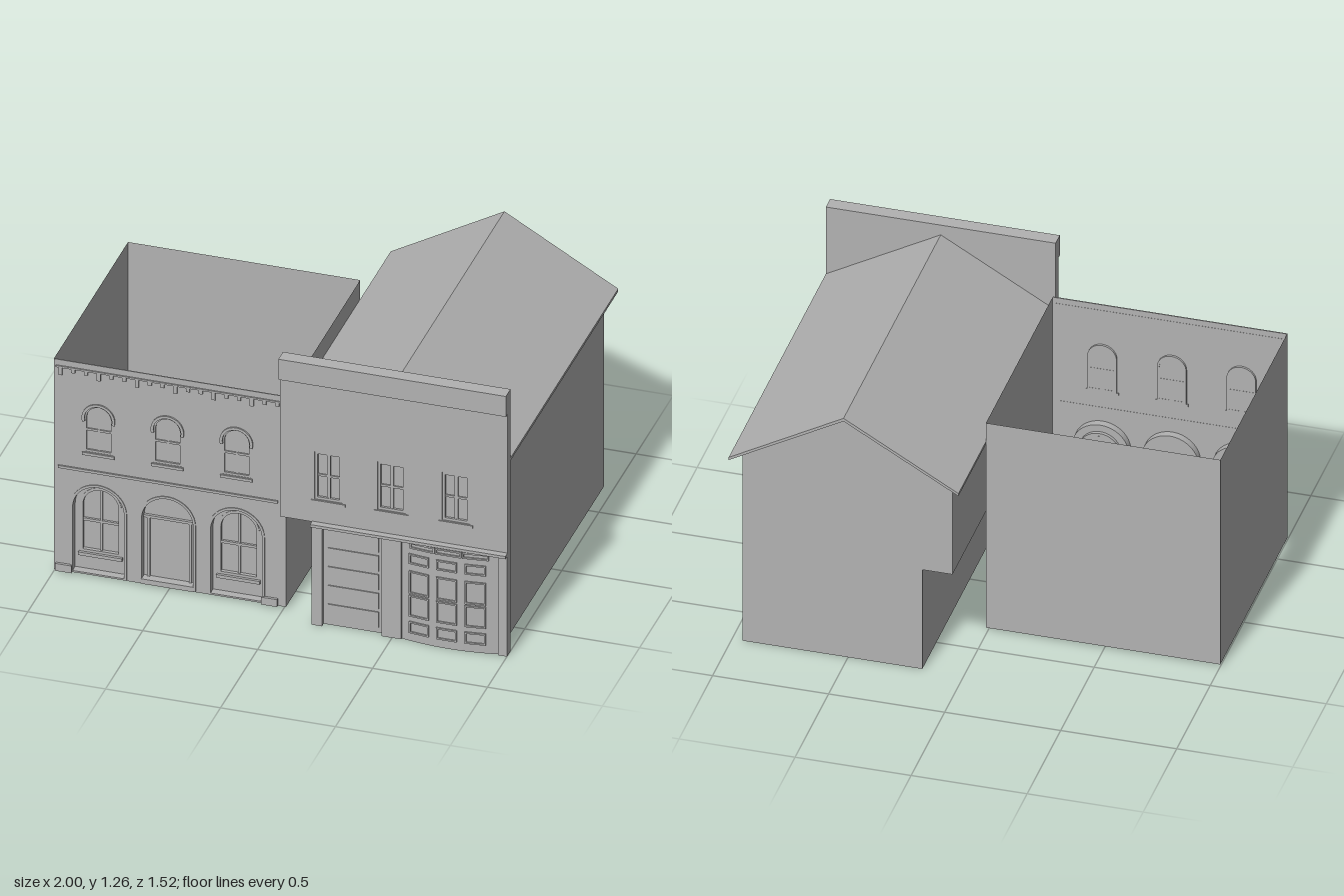
import * as THREE from 'three';

const stone = new THREE.MeshStandardMaterial({ color: 0xb2b2b2, side: THREE.DoubleSide });
stone.name = 'plain grey';

function add(parent, name, geo, x = 0, y = 0, z = 0) {
  const m = new THREE.Mesh(geo, stone);
  m.name = name;
  m.position.set(x, y, z);
  parent.add(m);
  return m;
}

// Box given by its limits
function block(parent, name, x0, x1, y0, y1, z0, z1) {
  return add(parent, name, new THREE.BoxGeometry(x1 - x0, y1 - y0, z1 - z0),
    (x0 + x1) / 2, (y0 + y1) / 2, (z0 + z1) / 2);
}

// Flat shape pushed from z0 to z1
function slab(parent, name, shape, z0, z1) {
  const geo = new THREE.ExtrudeGeometry(shape, { depth: z1 - z0, bevelEnabled: false, curveSegments: 14 });
  return add(parent, name, geo, 0, 0, z0);
}

function poly(points) {
  return new THREE.Shape(points.map(([x, y]) => new THREE.Vector2(x, y)));
}

function rect(x0, x1, y0, y1) {
  return poly([[x0, y0], [x1, y0], [x1, y1], [x0, y1]]);
}

// Round-headed opening; top is the crown height
function arch(cx, r, y0, top) {
  const s = new THREE.Shape();
  s.moveTo(cx - r, y0);
  s.lineTo(cx + r, y0);
  s.lineTo(cx + r, top - r);
  s.absarc(cx, top - r, r, 0, Math.PI, false);
  s.closePath();
  return s;
}

function withHoles(shape, ...holes) {
  shape.holes.push(...holes);
  return shape;
}

// Thin open sheet: a cross-section polyline swept along z
function sheet(parent, name, pts, z0, z1) {
  const pos = [];
  for (let i = 0; i < pts.length - 1; i++) {
    const [a, b] = pts[i], [c, d] = pts[i + 1];
    pos.push(a, b, z0, c, d, z0, c, d, z1, a, b, z0, c, d, z1, a, b, z1);
  }
  const geo = new THREE.BufferGeometry();
  geo.setAttribute('position', new THREE.Float32BufferAttribute(pos, 3));
  geo.computeVertexNormals();
  return add(parent, name, geo);
}

function archedBuilding() {
  const g = new THREE.Group();
  g.name = 'archedBuilding';
  const centres = [-0.805, -0.505, -0.205];

  // Roofless shell
  sheet(g, 'rightSideWall', [[-1, 0.01], [-1, 1.02]], -0.35, 0.65);
  sheet(g, 'leftSideWall', [[0.01, 0.01], [0.01, 1.02]], -0.35, 0.65);
  add(g, 'backWall', new THREE.ShapeGeometry(rect(-1, 0.01, 0.01, 1.02)).rotateY(Math.PI), -0.99, 0, -0.35);

  // Facade with openings
  const front = rect(-1, 0.01, 0.01, 1.02);
  for (const c of centres) front.holes.push(arch(c, 0.115, 0.02, 0.44), arch(c, 0.062, 0.6, 0.825));
  slab(g, 'frontWall', front, 0.645, 0.65);

  centres.forEach((c, i) => {
    // Deep ground-floor arch
    slab(g, 'archReveal', withHoles(arch(c, 0.123, 0.015, 0.447), arch(c, 0.112, 0.02, 0.436)), 0.612, 0.654);
    if (i === 1) {
      slab(g, 'doorPanel', arch(c, 0.114, 0.02, 0.438), 0.612, 0.618);
      for (const s of [-1, 1]) block(g, 'doorPost', c + s * 0.091 - 0.006, c + s * 0.091 + 0.006, 0.03, 0.32, 0.618, 0.626);
      block(g, 'transomBar', c - 0.11, c + 0.11, 0.318, 0.33, 0.618, 0.63);
      block(g, 'doorStep', c - 0.115, c + 0.115, 0.012, 0.035, 0.605, 0.656);
    } else {
      slab(g, 'archPanel', withHoles(arch(c, 0.114, 0.02, 0.438), arch(c, 0.09, 0.1, 0.415)), 0.612, 0.618);
      slab(g, 'windowFrame', withHoles(arch(c, 0.09, 0.1, 0.415), arch(c, 0.078, 0.112, 0.403)), 0.597, 0.62);
      slab(g, 'windowPane', arch(c, 0.08, 0.11, 0.405), 0.6, 0.604);
      block(g, 'windowMullion', c - 0.005, c + 0.005, 0.11, 0.4, 0.598, 0.612);
      block(g, 'windowRail', c - 0.08, c + 0.08, 0.245, 0.257, 0.598, 0.614);
      block(g, 'windowSill', c - 0.095, c + 0.095, 0.085, 0.1, 0.612, 0.632);
    }

    // Upper window with hood and sill
    const ring = new THREE.Shape();
    ring.absarc(c, 0.763, 0.072, -0.25, Math.PI + 0.25, false);
    ring.absarc(c, 0.763, 0.06, Math.PI + 0.25, -0.25, true);
    slab(g, 'windowHood', ring, 0.645, 0.657);
    slab(g, 'upperPane', arch(c, 0.062, 0.6, 0.825), 0.636, 0.64);
    slab(g, 'upperFrame', withHoles(arch(c, 0.063, 0.6, 0.826), arch(c, 0.053, 0.61, 0.816)), 0.635, 0.648);
    block(g, 'upperMullion', c - 0.004, c + 0.004, 0.605, 0.82, 0.635, 0.645);
    block(g, 'upperRail', c - 0.058, c + 0.058, 0.7, 0.71, 0.635, 0.646);
    block(g, 'upperSill', c - 0.07, c + 0.07, 0.585, 0.598, 0.64, 0.657);
  });

  // String course, cornice line with dentils, and corner plinths
  block(g, 'stringCourse', -0.98, -0.025, 0.503, 0.515, 0.644, 0.657);
  block(g, 'corniceLine', -0.99, 0, 0.985, 0.993, 0.644, 0.656);
  for (let i = 0; i < 18; i++) {
    const x = -0.97 + i * 0.0555;
    block(g, 'dentil', x - 0.008, x + 0.008, i % 3 ? 0.968 : 0.95, 0.985, 0.646, 0.656);
  }
  block(g, 'plinth', -0.99, -0.92, 0.01, 0.045, 0.64, 0.662);
  block(g, 'plinth', -0.095, -0.025, 0.01, 0.045, 0.64, 0.662);
  return g;
}

function gabledBuilding() {
  const g = new THREE.Group();
  g.name = 'gabledBuilding';

  // House shell, undercut along one side, open below
  const left = [[0.18, 0], [0.18, 0.49], [0.05, 0.49], [0.05, 0.935]];
  const right = [[0.955, 0.935], [0.955, 0]];
  sheet(g, 'undercutSideWall', left, -0.71, 0.7);
  sheet(g, 'sideWall', right, -0.71, 0.7);
  add(g, 'backGable', new THREE.ShapeGeometry(poly([...left, [0.505, 1.195], ...right])), 0, 0, -0.71);
  slab(g, 'roof', poly([[0.01, 0.915], [0.505, 1.195], [1, 0.915], [1, 0.928], [0.505, 1.21], [0.01, 0.928]]), -0.76, 0.69);

  // Upper facade, windows and cornice
  const windows = [0.22, 0.495, 0.775];
  const front = rect(0.01, 1, 0.49, 1.2);
  for (const c of windows) front.holes.push(rect(c - 0.06, c + 0.06, 0.6, 0.83));
  slab(g, 'upperFront', front, 0.69, 0.73);
  block(g, 'cornice', 0.01, 1, 1.16, 1.258, 0.69, 0.753);
  for (const c of windows) {
    block(g, 'upperPane', c - 0.06, c + 0.06, 0.6, 0.83, 0.712, 0.716);
    slab(g, 'upperFrame', withHoles(rect(c - 0.06, c + 0.06, 0.6, 0.83), rect(c - 0.048, c + 0.048, 0.612, 0.818)), 0.705, 0.726);
    block(g, 'upperMullion', c - 0.007, c + 0.007, 0.61, 0.82, 0.708, 0.724);
    block(g, 'upperRail', c - 0.05, c + 0.05, 0.71, 0.72, 0.708, 0.722);
    block(g, 'upperSill', c - 0.075, c + 0.075, 0.587, 0.598, 0.71, 0.735);
  }

  // Shopfront: posts, band and boarded door
  block(g, 'shopBand', 0.15, 1, 0.48, 0.493, 0.69, 0.76);
  for (const [a, b] of [[0.15, 0.195], [0.455, 0.54], [0.96, 1]]) block(g, 'post', a, b, 0, 0.48, 0.69, 0.738);
  block(g, 'doorPanel', 0.195, 0.455, 0, 0.48, 0.7, 0.715);
  for (let i = 0; i < 5; i++) block(g, 'doorBoard', 0.215, 0.435, 0.025 + i * 0.09, 0.1 + i * 0.09, 0.713, 0.72);

  // Bowed shop window
  const bow = x => 0.73 + 0.022 * (1 - ((x - 0.75) / 0.21) ** 2);
  const plan = [[0.54, -0.7]];
  for (let i = 0; i <= 14; i++) plan.push([0.54 + i * 0.03, -bow(0.54 + i * 0.03)]);
  plan.push([0.96, -0.7]);
  const bay = new THREE.ExtrudeGeometry(poly(plan), { depth: 0.48, bevelEnabled: false }).rotateX(-Math.PI / 2);
  add(g, 'bowWindow', bay);

  // Window frames bent to follow the bow
  const rows = [[0.04, 0.095], [0.12, 0.222], [0.23, 0.338], [0.372, 0.42]];
  const frame = (c, w, y0, y1) => {
    const s = withHoles(rect(-w / 2, w / 2, y0, y1), rect(-w / 2 + 0.007, w / 2 - 0.007, y0 + 0.007, y1 - 0.007));
    const m = slab(g, 'bowWindowFrame', s, 0, 0.009);
    m.position.set(c, 0, bow(c) - 0.003);
    m.rotation.y = Math.atan(0.044 * (c - 0.75) / 0.0441);
  };
  for (const [y0, y1] of rows) for (const c of [0.62, 0.742, 0.864]) frame(c, 0.09, y0, y1);
  for (const c of [0.635, 0.75, 0.865]) frame(c, 0.113, 0.447, 0.476);
  return g;
}

export function createModel() {
  const model = new THREE.Group();
  model.name = 'shopBuildings';
  model.add(archedBuilding(), gabledBuilding());
  return model;
}
